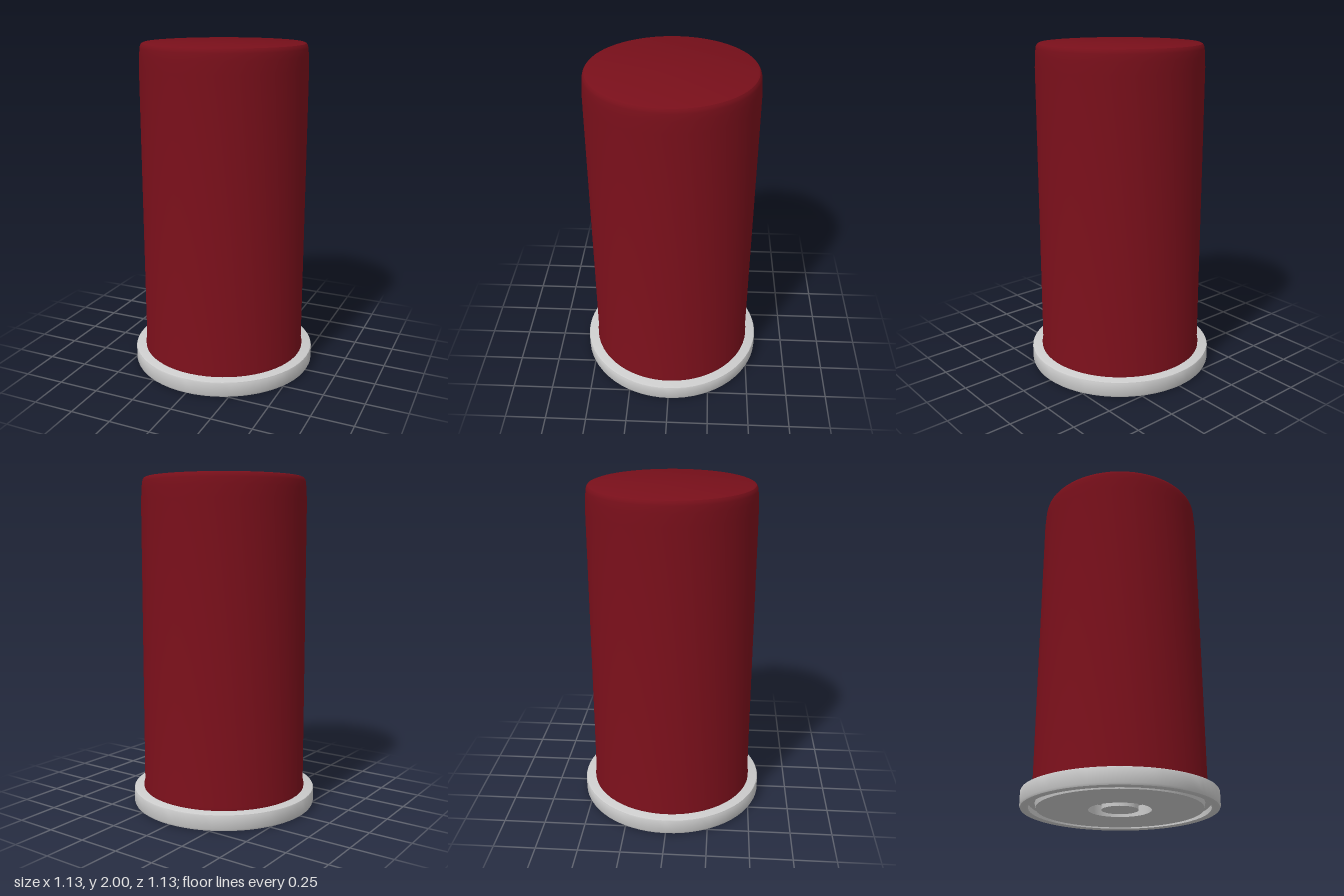
import * as THREE from 'three';
import { toCreasedNormals } from 'three/addons/utils/BufferGeometryUtils.js';

const SEGMENTS = 64;

// Revolve a [radius, height] profile, listed from the bottom axis outward and up
function turned(name, profile, color) {
  const points = profile.map(([r, y]) => new THREE.Vector2(r, y));
  const geometry = toCreasedNormals(new THREE.LatheGeometry(points, SEGMENTS), 0.5);
  const mesh = new THREE.Mesh(geometry, new THREE.MeshStandardMaterial({ color }));
  mesh.name = name;
  return mesh;
}

export function createModel() {
  const model = new THREE.Group();
  model.name = 'cylinderWithFlangedBase';

  // Grey base: central pin in a round pocket, ring groove, softened rim
  model.add(turned('base', [
    [0, 0.005], [0.105, 0.005], [0.105, 0.065],   // pin
    [0.18, 0.065], [0.18, 0.005],                 // pocket
    [0.475, 0.005], [0.48, 0.035],                // bottom disc
    [0.515, 0.035], [0.515, 0.005],               // groove
    [0.525, 0], [0.55, 0], [0.56, 0.004], [0.565, 0.015], // rim
    [0.565, 0.09], [0.562, 0.097], [0.555, 0.1],
    [0, 0.1],
  ], 0xcccccc));

  // Red body: slight flare at the foot, rounded shoulder, flat top
  model.add(turned('body', [
    [0, 0.09], [0.503, 0.09], [0.503, 0.12], [0.498, 0.135],
    [0.498, 1.86], [0.494, 1.93], [0.491, 1.97],
    [0.487, 1.985], [0.48, 1.995], [0.468, 2],
    [0, 2],
  ], 0x780f1a));

  return model;
}
